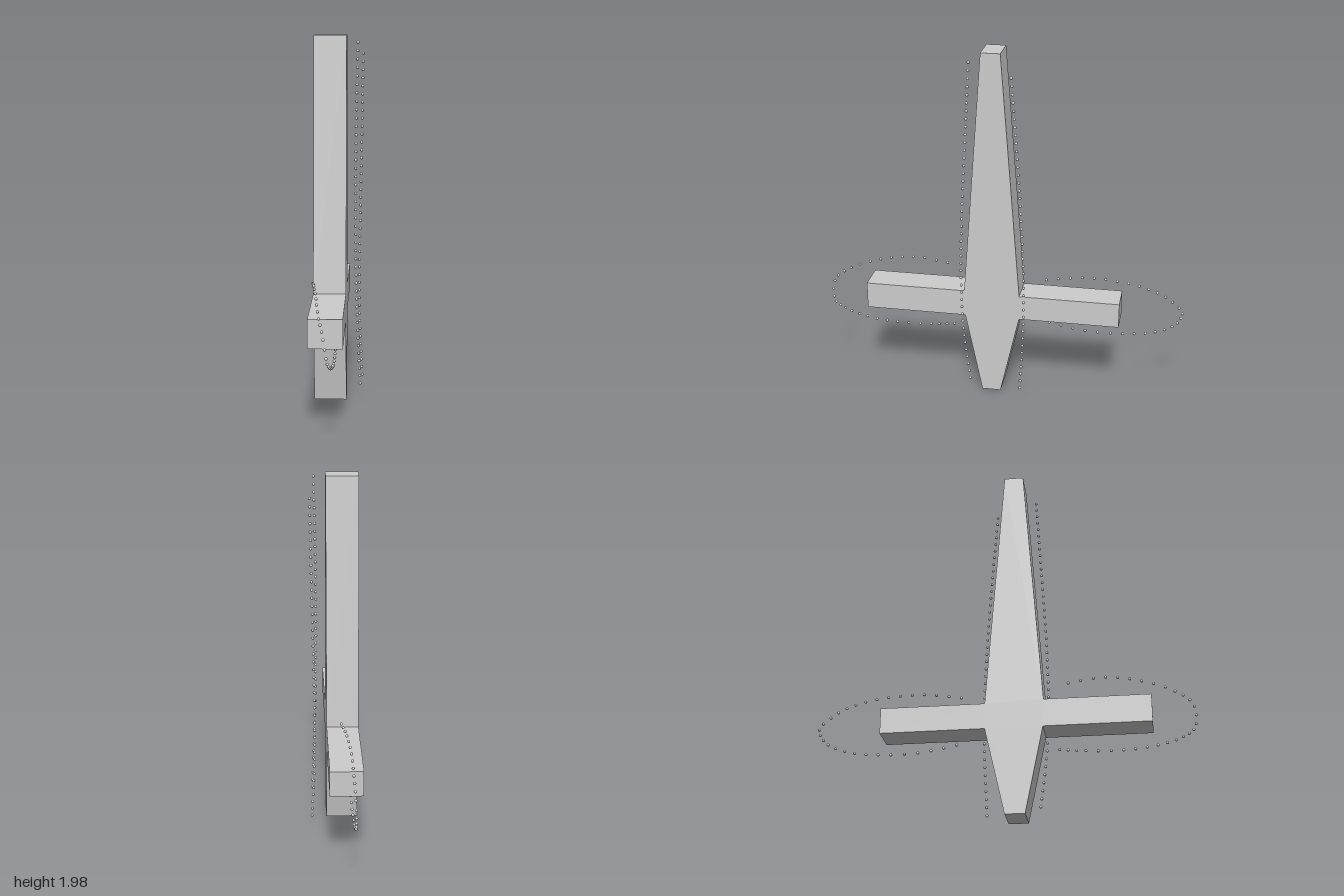
import * as THREE from 'three';

const material = new THREE.MeshStandardMaterial({ color: 0xcccccc, side: THREE.DoubleSide });

// Row of small beads along a smooth curve through [x, y, z] points
function beadRow(name, points, count, evenly) {
  const group = new THREE.Group();
  group.name = name;
  const curve = new THREE.CatmullRomCurve3(points.map(p => new THREE.Vector3(...p)));
  const positions = evenly ? curve.getSpacedPoints(count - 1) : curve.getPoints(count - 1);
  const beadGeometry = new THREE.SphereGeometry(0.008, 10, 8);
  for (const p of positions) {
    const bead = new THREE.Mesh(beadGeometry, material);
    bead.name = 'bead';
    bead.position.copy(p);
    group.add(bead);
  }
  return group;
}

export function createModel() {
  const model = new THREE.Group();
  model.name = 'beadedCross';

  // Tapered pillar with two arms: side outline (z, y) extruded across x
  const outline = [
    [0.01, 0], [0.115, 0], [0.21, 0.465], [0.775, 0.465], [0.775, 0.615], [0.215, 0.615],
    [0.115, 1.98], [0.01, 1.98], [-0.095, 0.605], [-0.65, 0.605], [-0.65, 0.465], [-0.095, 0.465],
  ];
  const shape = new THREE.Shape(outline.map(([z, y]) => new THREE.Vector2(z, y)));
  const geometry = new THREE.ExtrudeGeometry(shape, { depth: 0.175, bevelEnabled: false });
  geometry.rotateY(-Math.PI / 2).translate(0.04, 0, 0);
  const body = new THREE.Mesh(geometry, material);
  body.name = 'crossBody';
  model.add(body);

  // Upright strings of beads beside the pillar
  model.add(beadRow('frontString', [
    [0.1, 1.945, 0.165], [0.092, 1.5, 0.19], [0.09, 1.1, 0.212], [0.094, 0.7, 0.22],
    [0.103, 0.4, 0.207], [0.116, 0.11, 0.17],
  ], 43, true));
  model.add(beadRow('backString', [
    [0.125, 1.88, -0.062], [0.119, 1.5, -0.09], [0.112, 1.1, -0.115], [0.106, 0.7, -0.13],
    [0.108, 0.4, -0.128], [0.123, 0.075, -0.115],
  ], 42, true));

  // Open loops of beads around the arm ends
  model.add(beadRow('frontLoop', [
    [-0.13, 0.7, 0.345], [-0.115, 0.73, 0.535], [-0.095, 0.71, 0.715], [-0.075, 0.655, 0.885],
    [-0.05, 0.585, 0.985], [-0.03, 0.46, 0.99], [-0.018, 0.41, 0.915], [-0.012, 0.375, 0.78],
    [-0.008, 0.36, 0.605], [-0.01, 0.365, 0.415], [-0.015, 0.375, 0.285],
  ], 30, false));
  model.add(beadRow('backLoop', [
    [-0.035, 0.685, -0.235], [-0.055, 0.705, -0.42], [-0.07, 0.695, -0.6], [-0.075, 0.665, -0.77],
    [-0.078, 0.61, -0.9], [-0.08, 0.52, -0.99], [-0.08, 0.44, -0.945], [-0.08, 0.385, -0.815],
    [-0.078, 0.365, -0.64], [-0.075, 0.37, -0.44], [-0.07, 0.405, -0.25],
  ], 29, false));

  return model;
}
